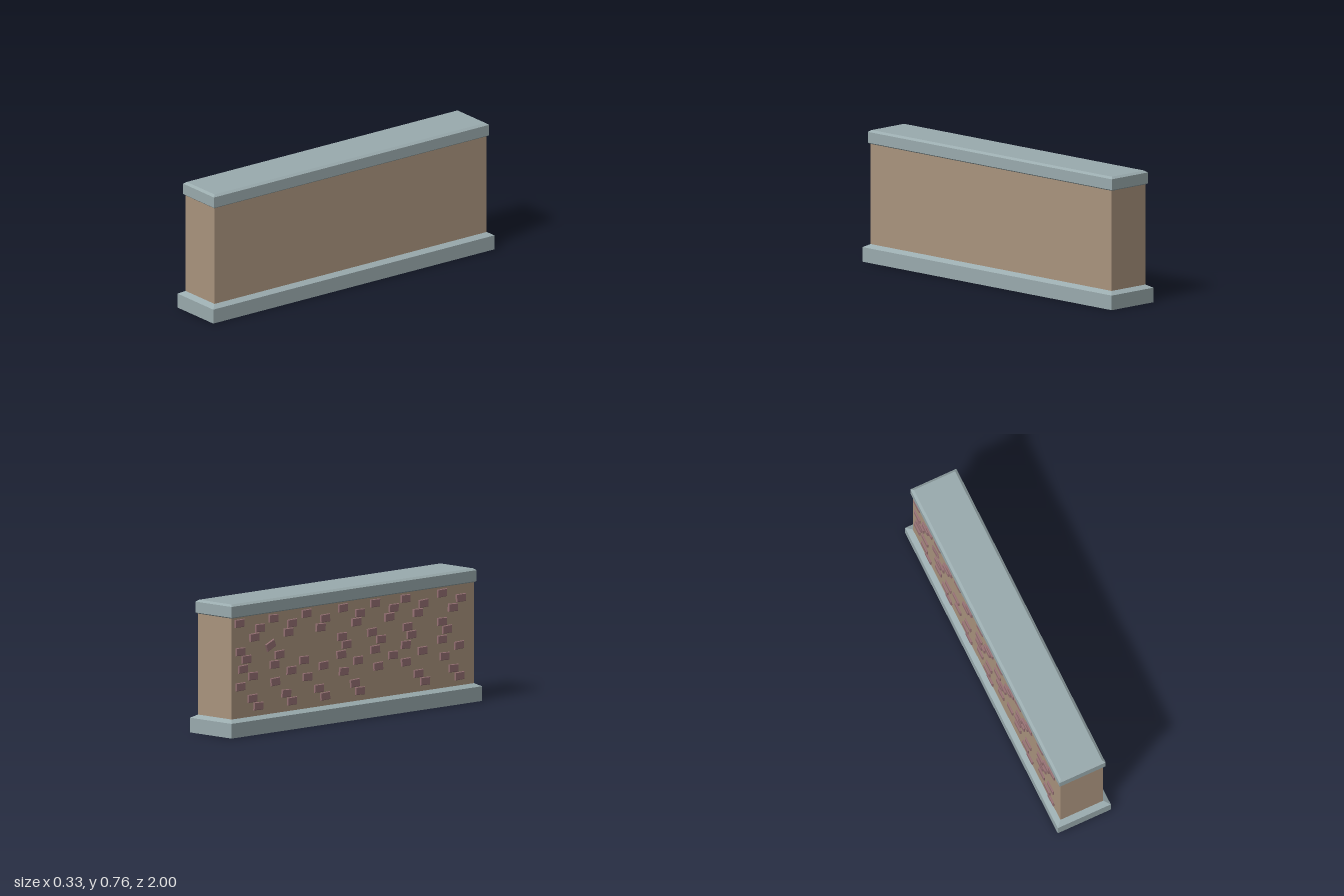
import * as THREE from 'three';

// Stack of rectangular sections [y, halfX, halfZ], flat shaded, capped on request
function loft(sections, capBottom = true, capTop = true) {
  const ring = ([y, hx, hz]) => [[-hx, y, hz], [hx, y, hz], [hx, y, -hz], [-hx, y, -hz]];
  const pos = [];
  const quad = (a, b, c, d) => pos.push(...a, ...b, ...c, ...a, ...c, ...d);
  for (let i = 0; i < sections.length - 1; i++) {
    const lo = ring(sections[i]), hi = ring(sections[i + 1]);
    for (let k = 0; k < 4; k++) {
      const n = (k + 1) % 4;
      quad(lo[k], lo[n], hi[n], hi[k]);
    }
  }
  if (capTop) quad(...ring(sections[sections.length - 1]));
  if (capBottom) quad(...ring(sections[0]).reverse());
  const geo = new THREE.BufferGeometry();
  geo.setAttribute('position', new THREE.Float32BufferAttribute(pos, 3));
  geo.computeVertexNormals();
  return geo;
}

function material(name, color) {
  const m = new THREE.MeshStandardMaterial({ color });
  m.name = name;
  return m;
}

export function createModel() {
  const model = new THREE.Group();
  model.name = 'wall';
  const stone = material('grey stone', 0x9aabae);
  const plaster = material('tan plaster', 0xaa947e);
  const brickMat = material('dull red brick', 0x967174);

  const add = (name, geo, mat, parent = model) => {
    const mesh = new THREE.Mesh(geo, mat);
    mesh.name = name;
    parent.add(mesh);
    return mesh;
  };

  // Plinth, wall body and coping
  add('base', loft([[0, 0.166, 1], [0.084, 0.166, 1], [0.102, 0.134, 0.967]], false), stone);
  add('wallBody', loft([[0.1, 0.134, 0.967], [0.685, 0.134, 0.967]], false, false), plaster);
  add('coping', loft([
    [0.679, 0.137, 0.971], [0.685, 0.144, 0.978],
    [0.747, 0.144, 0.978], [0.758, 0.129, 0.963],
  ]), stone);

  // Underside in four coloured quarters: [name, colour, x side, z side]
  [
    ['yellow', 0xe2b62c, 1, 1], ['orange', 0xe08c24, -1, 1],
    ['moss', 0xa5a954, 1, -1], ['dark olive', 0x6a6840, -1, -1],
  ].forEach(([name, color, sx, sz]) => {
    const plate = add('underside', new THREE.PlaneGeometry(0.166, 1), material(name, color));
    plate.rotation.x = Math.PI / 2;
    plate.position.set(sx * 0.083, 0, sz * 0.5);
  });

  // Exposed bricks on the right face: [height, protrusion, positions along z]
  const rows = [
    [0.645, 0.009, [-0.906, -0.636, -0.372, -0.081, 0.176, 0.419, 0.71]],
    [0.602, 0.009, [-0.744, -0.487, -0.223, 0.054, 0.324, 0.561, 0.859]],
    [0.554, 0.012, [-0.79, -0.518, -0.262, 0.022, 0.286, 0.515, 0.795]],
    [0.482, 0.009, [-0.9, -0.09, 0.149, 0.433, 0.71]],
    [0.434, 0.009, [-0.852, -0.588, -0.054, 0.223, 0.466, 0.75]],
    [0.381, 0.009, [-0.879, -0.629, -0.392, -0.095, 0.176, 0.42, 0.71]],
    [0.333, 0.009, [-0.8, -0.494, -0.237, 0.04, 0.318, 0.554, 0.845]],
    [0.282, 0.009, [-0.9, -0.622, -0.365, -0.075, 0.2, 0.42, 0.73]],
    [0.206, 0.009, [-0.805, -0.534, -0.271, 0.013, 0.52, 0.8]],
    [0.157, 0.009, [-0.757, -0.487, -0.223, 0.054, 0.575, 0.85]],
  ];
  const bricks = new THREE.Group();
  bricks.name = 'exposedBricks';
  model.add(bricks);
  const brickGeo = (depth) => loft([
    [0, 0.0225, 0.037], [depth - 0.003, 0.0225, 0.037], [depth, 0.0195, 0.034],
  ], false).rotateZ(Math.PI / 2); // face outward along -x
  const addBrick = (geo, y, z, tilt) => {
    const brick = add('brick', geo, brickMat, bricks);
    brick.position.set(-0.134, y, z);
    brick.rotation.x = tilt;
  };
  rows.forEach(([y, depth, zs], r) => {
    const geo = brickGeo(depth);
    zs.forEach((z, i) => addBrick(geo, y, z, 0.04 * Math.sin(r * 2.3 + i * 1.7)));
  });
  addBrick(brickGeo(0.009), 0.493, -0.66, -0.4); // one slipped brick

  return model;
}
